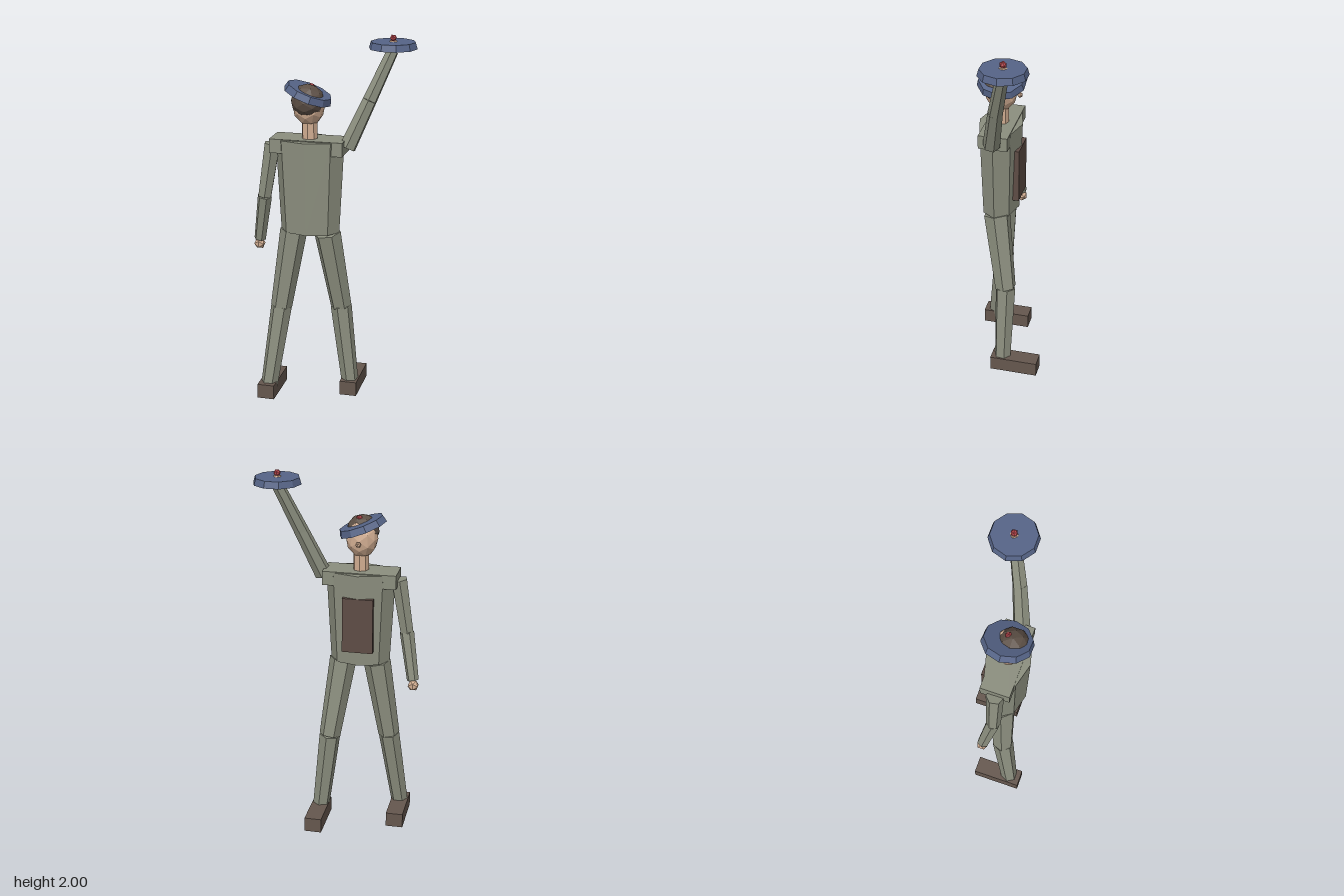
import * as THREE from 'three';

const mat = (name, color) => {
  const m = new THREE.MeshStandardMaterial({ color, flatShading: true });
  m.name = name;
  return m;
};

export function createModel() {
  const cloth = mat('uniform grey green', 0x8b8e7e);
  const blue = mat('cap blue', 0x566487);
  const leather = mat('boot brown', 0x65574e);
  const packBrown = mat('pack brown', 0x5e4c45);
  const hairBrown = mat('hair brown', 0x5c4f45);
  const skin = mat('skin', 0xd2ae92);
  const red = mat('pompom red', 0xb5444a);

  const root = new THREE.Group();
  root.name = 'figure';
  const V = (p) => new THREE.Vector3(...p);
  const UP = new THREE.Vector3(0, 1, 0);
  const cx = -0.108, cz = 0.055; // body axis

  const add = (name, geo, material, pos, parent = root) => {
    const m = new THREE.Mesh(geo, material);
    m.name = name;
    m.position.set(...pos);
    parent.add(m);
    return m;
  };

  // Tapered six-sided segment between two points
  const segment = (name, a, b, ra, rb) => {
    const from = V(a), dir = V(b).sub(from);
    const geo = new THREE.CylinderGeometry(rb, ra, dir.length(), 6);
    const mid = from.addScaledVector(dir, 0.5);
    add(name, geo, cloth, mid.toArray()).quaternion.setFromUnitVectors(UP, dir.normalize());
  };
  const limb = (names, points, radii) => names.forEach((n, i) =>
    segment(n, points[i], points[i + 1], radii[i], radii[i + 1]));

  // Torso, shoulders, pack and neck
  add('torso', new THREE.CylinderGeometry(0.187, 0.16, 0.505, 8), cloth, [cx, 1.203, cz])
    .scale.z = 0.625;
  add('shoulders', new THREE.BoxGeometry(0.393, 0.075, 0.157), cloth, [cx - 0.004, 1.423, 0.052]);
  add('pack', new THREE.BoxGeometry(0.165, 0.3, 0.035), packBrown, [-0.112, 1.18, -0.044]);
  add('neck', new THREE.CylinderGeometry(0.042, 0.042, 0.12, 8), skin, [cx, 1.5, cz]);

  // Head and hair
  add('head', new THREE.IcosahedronGeometry(0.086, 1), skin, [cx - 0.004, 1.632, cz]).scale.y = 1.22;
  add('hair', new THREE.IcosahedronGeometry(0.088, 1), hairBrown, [cx - 0.004, 1.664, 0.078]);
  add('nose', new THREE.IcosahedronGeometry(0.016, 0), skin, [cx - 0.004, 1.622, -0.045]);

  // Round flat cap with pompom
  const cap = (name, pos, tilt) => {
    const g = new THREE.Group();
    g.name = name;
    g.position.set(...pos);
    g.rotation.z = tilt;
    add('capDisc', new THREE.CylinderGeometry(0.117, 0.127, 0.035, 10), blue, [0, 0, 0], g)
      .rotation.y = Math.PI / 2;
    add('pompom', new THREE.IcosahedronGeometry(0.019, 0), red, [0, 0.036, 0], g);
    root.add(g);
    return g;
  };
  cap('wornCap', [-0.113, 1.698, 0.053], -0.37).scale.set(1.04, 1.04, 1.04);
  cap('raisedCap', [0.306, 1.946, -0.063], 0);

  // Arms and hands
  const armR = [0.046, 0.039, 0.032];
  limb(['leftUpperArm', 'leftForearm'],
    [[0.095, 1.42, 0.055], [0.2, 1.665, 0.005], [0.304, 1.915, -0.058]], armR);
  limb(['rightUpperArm', 'rightForearm'],
    [[-0.312, 1.418, 0.055], [-0.358, 1.125, 0.06], [-0.403, 0.868, 0.015]], armR);
  add('leftHand', new THREE.IcosahedronGeometry(0.031, 0), skin, [0.306, 1.945, -0.063]);
  add('rightHand', new THREE.IcosahedronGeometry(0.032, 0), skin, [-0.406, 0.838, 0.012]);

  // Legs and boots
  const legR = [0.073, 0.058, 0.046];
  limb(['leftThigh', 'leftShin'],
    [[-0.013, 0.945, cz], [0.048, 0.51, -0.008], [0.103, 0.04, -0.004]], legR);
  limb(['rightThigh', 'rightShin'],
    [[-0.2, 0.945, cz], [-0.267, 0.51, 0.08], [-0.328, 0.04, 0.142]], legR);
  const boot = new THREE.BoxGeometry(0.093, 0.08, 0.266);
  add('leftBoot', boot, leather, [0.102, 0.04, -0.077]);
  add('rightBoot', boot, leather, [-0.328, 0.04, 0.073]);

  return root;
}
